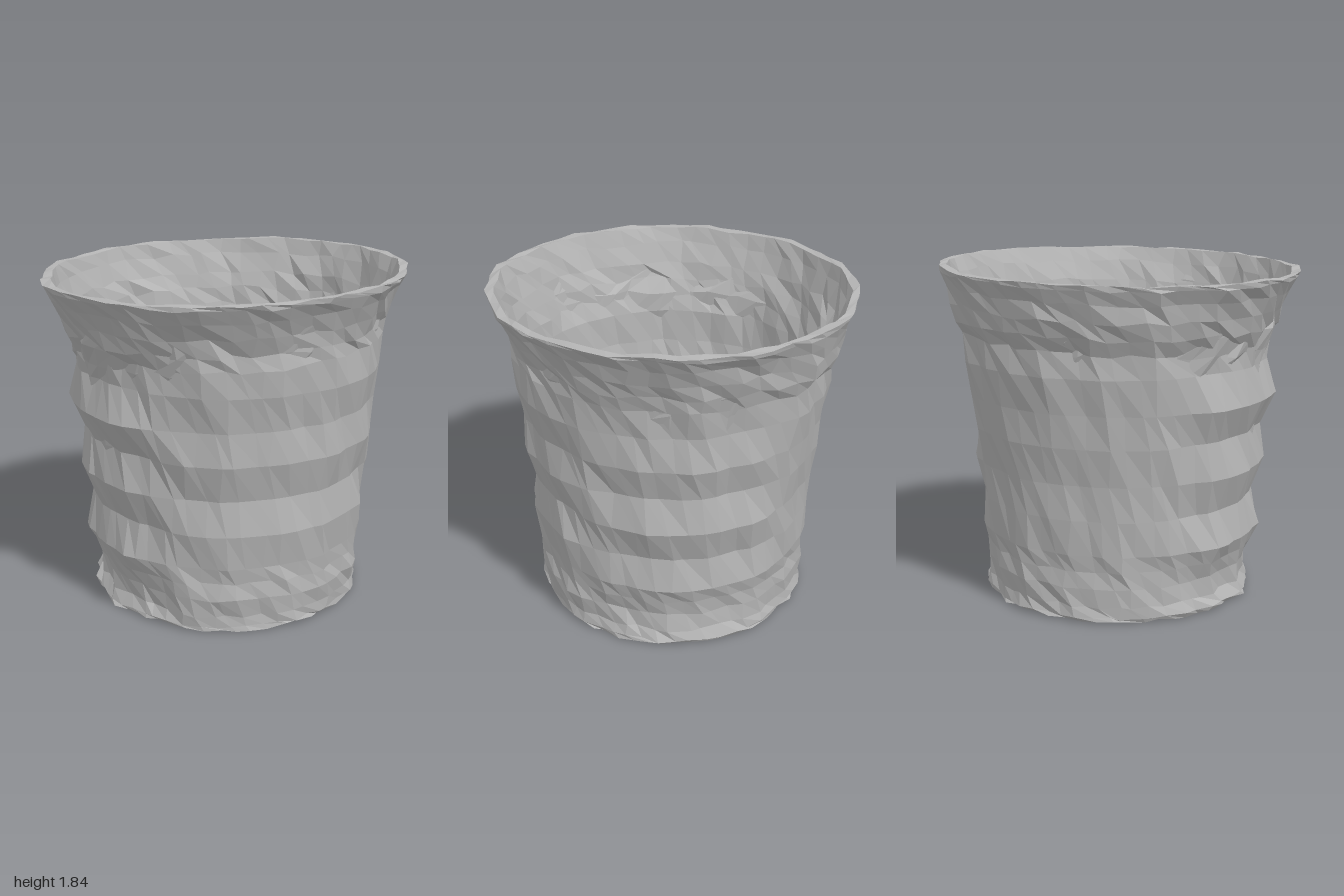
import * as THREE from 'three';

const SEG = 54;

// Repeatable noise in -1..1 for a ring and a segment
function noise(i, j) {
  const s = Math.sin(i * 127.1 + (j % SEG) * 311.7 + 4.2) * 43758.5453;
  return (s - Math.floor(s)) * 2 - 1;
}

// Outer rings: y, radius toward +x, -x, +z, -z, crumple
const OUTER = [
  [0.02, 0.75, 0.72, 0.745, 0.735, 0.012],
  [0.04, 0.76, 0.73, 0.75, 0.74, 0.012],
  [0.10, 0.74, 0.70, 0.745, 0.735, 0.012],
  [0.20, 0.73, 0.70, 0.765, 0.74, 0.01],
  [0.29, 0.745, 0.735, 0.76, 0.74, 0.01],
  [0.38, 0.77, 0.775, 0.765, 0.75, 0.008],
  [0.57, 0.75, 0.73, 0.795, 0.765, 0.008],
  [0.76, 0.81, 0.80, 0.77, 0.775, 0.008],
  [0.96, 0.78, 0.77, 0.83, 0.81, 0.008],
  [1.14, 0.83, 0.855, 0.82, 0.83, 0.008],
  [1.33, 0.825, 0.81, 0.865, 0.86, 0.01],
  [1.47, 0.85, 0.82, 0.87, 0.865, 0.014],
  [1.55, 0.875, 0.865, 0.87, 0.91, 0.014],
  [1.64, 0.90, 0.90, 0.90, 0.935, 0.012],
  [1.73, 0.935, 0.94, 0.94, 0.95, 0.01],
  [1.80, 0.98, 0.985, 0.985, 0.985, 0.007],
];

// Inner rings below the mouth: y, radius, crumple
const INNER = [
  [1.74, 0.915, 0.012], [1.63, 0.875, 0.014], [1.54, 0.85, 0.018],
  [1.44, 0.825, 0.018], [1.33, 0.80, 0.01], [1.14, 0.79, 0.008],
  [0.96, 0.76, 0.008], [0.76, 0.74, 0.008], [0.57, 0.705, 0.012],
  [0.38, 0.67, 0.018], [0.22, 0.62, 0.025], [0.10, 0.56, 0.03],
];

// Blend four directional radii around the ring; ridges swap phase between sectors
function radiusAt([, px, nx, pz, nz], a) {
  const c = Math.cos(a), s = Math.sin(a);
  const w = THREE.MathUtils.smoothstep(s * s, 0.12, 0.6);
  return (c > 0 ? px : nx) * (1 - w) + (s > 0 ? pz : nz) * w;
}

// One crumpled ring of points; the rim tilts upward toward +x and +z
function ring(row, index, crumple, lift) {
  const points = [];
  for (let j = 0; j < SEG; j++) {
    const a = (j + 0.3 * noise(index + 40, j)) / SEG * Math.PI * 2 + index * 0.03;
    const fold = 0.006 * Math.sin(a * 9 + index * 0.25) + 0.006 * Math.sin(a * 17 - index * 0.3);
    const r = radiusAt(row, a) + fold + crumple * noise(index, j);
    const tilt = row[0] > 1 ? lift * (0.024 * Math.cos(a) + 0.01 * Math.sin(a)) : 0;
    const y = Math.max(0, row[0] + tilt + crumple * lift * noise(index + 80, j));
    points.push(new THREE.Vector3(r * Math.cos(a), y, r * Math.sin(a)));
  }
  return points;
}

// Skin a run of rings, listed so that the faces point outward
function skin(rings) {
  const v = [];
  const tri = (...p) => p.forEach((q) => v.push(q.x, q.y, q.z));
  for (let i = 0; i < rings.length - 1; i++) {
    for (let j = 0; j < SEG; j++) {
      const k = (j + 1) % SEG;
      const a = rings[i][j], b = rings[i][k], c = rings[i + 1][k], d = rings[i + 1][j];
      tri(a, d, c);
      tri(a, c, b);
    }
  }
  return v;
}

// Triangle fan from a ring to its centre
function fan(points, y, up) {
  const v = [];
  points.forEach((p, j) => {
    const q = points[(j + 1) % SEG];
    const [a, b] = up ? [q, p] : [p, q];
    v.push(0, y, 0, a.x, a.y, a.z, b.x, b.y, b.z);
  });
  return v;
}

export function createModel() {
  const group = new THREE.Group();
  group.name = 'crumpledBucket';
  const grey = new THREE.MeshStandardMaterial({ color: 0xb4b4b4, flatShading: true, side: THREE.DoubleSide });
  grey.name = 'grey';

  const add = (name, positions) => {
    const geometry = new THREE.BufferGeometry();
    geometry.setAttribute('position', new THREE.Float32BufferAttribute(positions, 3));
    geometry.computeVertexNormals();
    const mesh = new THREE.Mesh(geometry, grey);
    mesh.name = name;
    group.add(mesh);
  };

  // Lift makes the wall uneven at the mouth and near the foot
  const outer = OUTER.map((row, i) => ring(row, i, row[5], row[0] > 1.4 ? 1 : row[0] < 0.3 ? 0.7 : 0.1));
  const inner = INNER.map(([y, r, crumple], i) =>
    ring([y, r, r, r, r + 0.01], i + 18, crumple, y > 1.4 || y < 0.5 ? 1 : 0.1));
  const lipOut = ring([1.825, 0.99, 0.99, 0.99, 0.99], 16, 0.007, 1);
  const lipIn = ring([1.825, 0.945, 0.945, 0.945, 0.945], 17, 0.007, 1);

  add('outerWall', skin(outer));
  add('rim', skin([outer[outer.length - 1], lipOut, lipIn]));
  add('innerWall', skin([lipIn, ...inner]));
  add('innerFloor', fan(inner[inner.length - 1], 0.06, true));
  add('base', fan(outer[0], 0.035, false));
  return group;
}
